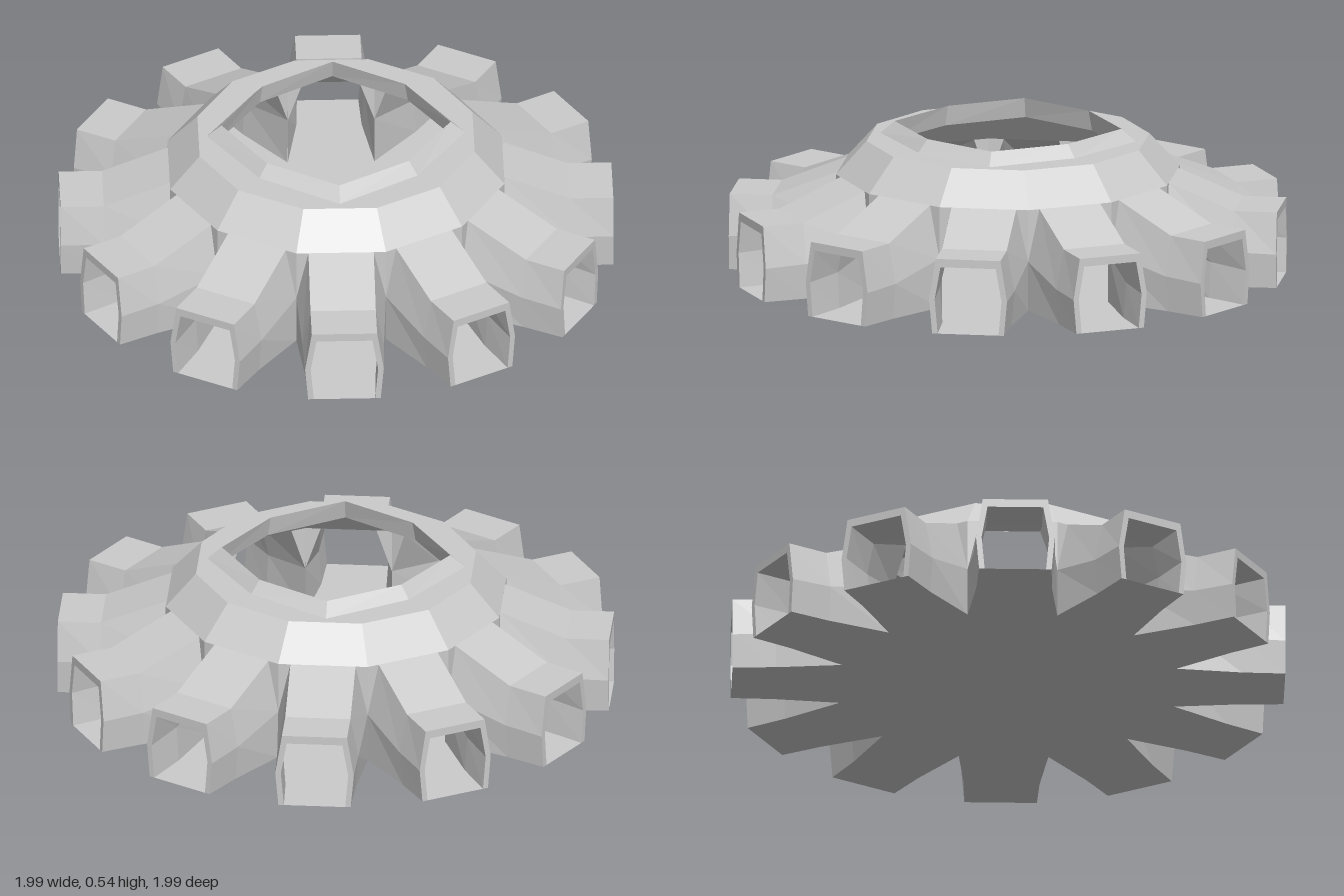
import * as THREE from 'three';

const grey = new THREE.MeshStandardMaterial({ color: 0xcccccc, flatShading: true, side: THREE.DoubleSide });
const ARMS = 12, STEP = Math.PI * 2 / ARMS;

// Flat-shaded surface joining pairs of cross-sections (lists of [x, y, z])
function loft(pairs, closed = false, extra = []) {
  const pos = [];
  for (const [a, b] of pairs) {
    const n = a.length;
    for (let i = 0; i < (closed ? n : n - 1); i++) {
      const j = (i + 1) % n;
      pos.push(...a[i], ...a[j], ...b[j], ...a[i], ...b[j], ...b[i]);
    }
  }
  for (const tri of extra) pos.push(...tri.flat());
  const g = new THREE.BufferGeometry();
  g.setAttribute('position', new THREE.Float32BufferAttribute(pos, 3));
  g.computeVertexNormals();
  return g;
}

// Arch section: half-widths at bottom, middle and top, heights, distance out
function arch(b, m, t, yMid, yTop, z) {
  return [[-b, 0, z], [-m, yMid, z], [-t, yTop, z], [t, yTop, z], [m, yMid, z], [b, 0, z]];
}

// Horizontal rings: twelve-sided for the dome, squarish eight-sided for the collar
function ring(r, y) {
  return Array.from({ length: ARMS }, (_, i) => [r * Math.sin(i * STEP), y, r * Math.cos(i * STEP)]);
}
function collarRing(axis, diag, y) {
  return Array.from({ length: 8 }, (_, i) => {
    const a = i * Math.PI / 4, r = i % 2 ? diag * Math.SQRT2 : axis;
    return [r * Math.sin(a), y, r * Math.cos(a)];
  });
}

// Flat plate from an outline ring with an optional hole ring
function plate(outer, hole, y, up) {
  const s = up ? -1 : 1;
  const to2 = ps => ps.map(p => new THREE.Vector2(p[0], s * p[2]));
  const shape = new THREE.Shape(to2(outer));
  if (hole) shape.holes.push(new THREE.Path(to2(hole)));
  return new THREE.ShapeGeometry(shape).rotateX(s * Math.PI / 2).translate(0, y, 0);
}

// Triangles filling the corners between an arch and its neighbours
function gussets(sec, half, y, z) {
  const tri = s => {
    const top = s < 0 ? sec[2] : sec[3], mid = s < 0 ? sec[1] : sec[4];
    return s < 0 ? [top, mid, [s * half, y, z]] : [mid, top, [s * half, y, z]];
  };
  return [tri(-1), tri(1)];
}

export function createModel() {
  const model = new THREE.Group();
  const add = (parent, name, geo) => {
    const mesh = new THREE.Mesh(geo, grey);
    mesh.name = name;
    parent.add(mesh);
  };

  // Tunnel sections from the open end to the dome, outside and inside
  const out = [
    arch(0.13, 0.141, 0.117, 0.125, 0.275, 0.99),
    arch(0.135, 0.146, 0.117, 0.13, 0.275, 0.835),
    arch(0.1605, 0.1605, 0.117, 0.18, 0.37, 0.599),
  ];
  const inn = [
    arch(0.11, 0.121, 0.1, 0.125, 0.245, 0.99),
    arch(0.117, 0.126, 0.1, 0.13, 0.245, 0.825),
    arch(0.155, 0.155, 0.1, 0.18, 0.34, 0.58),
  ];
  const outerGeo = loft([[out[0], out[1]], [out[1], out[2]]], false, gussets(out[2], 0.1605, 0.37, 0.599));
  const innerGeo = loft([[inn[1], inn[0]], [inn[2], inn[1]]], false,
    gussets(inn[2], 0.155, 0.34, 0.58).map(t => t.reverse()));
  const frameGeo = loft([[inn[0], out[0]]]);

  // Twelve tunnels, collecting the floor outline on the way round
  const floor = [];
  for (let i = 0; i < ARMS; i++) {
    const a = (i + 0.5) * STEP, c = Math.cos(a), s = Math.sin(a);
    const arm = new THREE.Group();
    arm.name = 'tunnel';
    arm.rotation.y = a;
    add(arm, 'tunnelShell', outerGeo);
    add(arm, 'tunnelLining', innerGeo);
    add(arm, 'tunnelEndFrame', frameGeo);
    model.add(arm);
    for (const [x, z] of [[-0.1605, 0.599], [-0.135, 0.835], [-0.13, 0.99], [0.13, 0.99], [0.135, 0.835]])
      floor.push([x * c + z * s, 0, z * c - x * s]);
  }
  add(model, 'floor', plate(floor, null, 0, false));

  // Sloped dome skirt and its lining
  add(model, 'domeSkirt', loft([[ring(0.62, 0.37), ring(0.51, 0.49)]], true));
  add(model, 'domeLining', loft([[ring(0.49, 0.46), ring(0.6, 0.34)]], true));

  // Roof plate and raised collar around the opening
  const base = collarRing(0.4, 0.327, 0.49);
  const lip = collarRing(0.36, 0.29, 0.535);
  const under = collarRing(0.375, 0.305, 0.46);
  add(model, 'roofPlate', plate(ring(0.51, 0), base, 0.49, true));
  add(model, 'ceiling', plate(ring(0.49, 0), under, 0.46, false));
  add(model, 'collar', loft([[base, lip], [lip, under]], true));

  return model;
}
